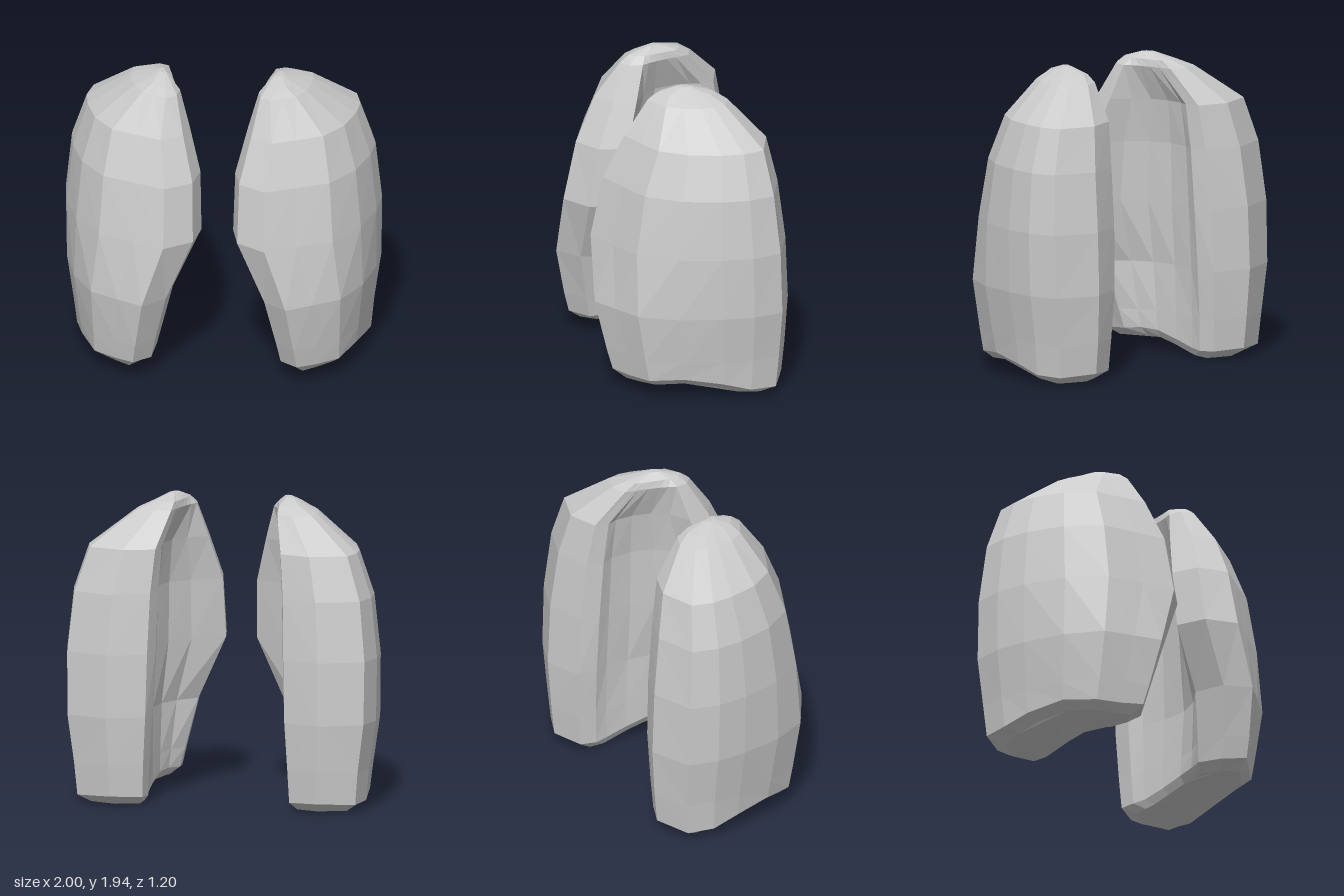
import * as THREE from 'three';

// Crescent cross-section at mid height [x, z]: front edge, outer side, back, then hollow inner side
const SECTION = [
  [0.10, 0.27], [0.14, 0.47], [0.32, 0.59], [0.52, 0.50], [0.74, 0.40], [0.90, 0.17],
  [0.98, -0.10], [1.00, -0.30], [0.96, -0.49], [0.68, -0.60], [0.44, -0.51], [0.41, -0.39],
  [0.45, -0.30], [0.46, -0.14], [0.42, 0.03], [0.30, 0.16],
];
const HOLLOW_START = 12;

// Levels from base to tip: height, outer x, inner x at front, inner x at back, front z, back z,
// depth of the inner hollow, base ripple
const LEVELS = [
  [0.06, 0.85, 0.45, 0.49, 0.42, -0.46, 0.4, 1],
  [0.11, 0.93, 0.385, 0.45, 0.50, -0.56, 0.5, 1],
  [0.26, 0.95, 0.355, 0.44, 0.535, -0.58, 0.6, 0],
  [0.57, 0.995, 0.28, 0.42, 0.60, -0.60, 0.8, 0],
  [0.97, 1.00, 0.10, 0.41, 0.59, -0.585, 1, 0],
  [1.35, 0.96, 0.11, 0.40, 0.51, -0.54, 1, 0],
  [1.63, 0.865, 0.185, 0.38, 0.38, -0.48, 0.8, 0],
  [1.85, 0.58, 0.25, 0.33, 0.22, -0.27, 0.2, 0],
  [1.895, 0.48, 0.29, 0.33, 0.16, -0.19, 0, 0],
  [1.935, 0.40, 0.34, 0.36, 0.03, -0.05, 0, 0],
];

// Fit the section between the limits of one level
function ring([y, outer, innerFront, innerBack, front, back, hollow, ripple]) {
  return SECTION.map(([sx, sz], i) => {
    // Flatten the inner side towards the straight line from back ridge to front edge
    const straight = THREE.MathUtils.lerp(0.41, 0.10, (sz + 0.39) / 0.66);
    const px = i < HOLLOW_START ? sx : THREE.MathUtils.lerp(straight, sx, hollow);
    const t = THREE.MathUtils.clamp((sz + 0.45) / 0.72, 0, 1);
    const s = THREE.MathUtils.lerp((outer - innerBack) / 0.59, (outer - innerFront) / 0.9, t);
    const z = THREE.MathUtils.lerp(back, front, (sz + 0.6) / 1.19);
    const wave = 0.09 * z + 0.028 * Math.cos(8 * (z - 0.05));
    return [outer - (1 - px) * s, y + ripple * wave, z];
  });
}

function lobeGeometry(side) {
  const n = SECTION.length;
  const positions = [];
  const index = [];
  const tri = (a, b, c) => (side > 0 ? index.push(a, b, c) : index.push(a, c, b));

  for (const level of LEVELS) {
    for (const [x, y, z] of ring(level)) positions.push(side * x, y, z);
  }
  // Walls between neighbouring levels
  for (let k = 0; k < LEVELS.length - 1; k++) {
    for (let i = 0; i < n; i++) {
      const a = k * n + i, b = k * n + (i + 1) % n;
      tri(a, b, b + n);
      tri(a, b + n, a + n);
    }
  }
  // Caps at base and tip
  const outline = SECTION.map(([x, z]) => new THREE.Vector2(x, -z));
  const top = (LEVELS.length - 1) * n;
  for (const [a, b, c] of THREE.ShapeUtils.triangulateShape(outline, [])) {
    tri(a, c, b);
    tri(top + a, top + b, top + c);
  }

  const geometry = new THREE.BufferGeometry();
  geometry.setAttribute('position', new THREE.Float32BufferAttribute(positions, 3));
  geometry.setIndex(index);
  geometry.computeVertexNormals();
  return geometry;
}

export function createModel() {
  const group = new THREE.Group();
  group.name = 'lungs';
  const material = new THREE.MeshStandardMaterial({ color: 0xcccccc, flatShading: true });
  for (const [name, side] of [['leftLung', 1], ['rightLung', -1]]) {
    const lung = new THREE.Mesh(lobeGeometry(side), material);
    lung.name = name;
    group.add(lung);
  }
  return group;
}
